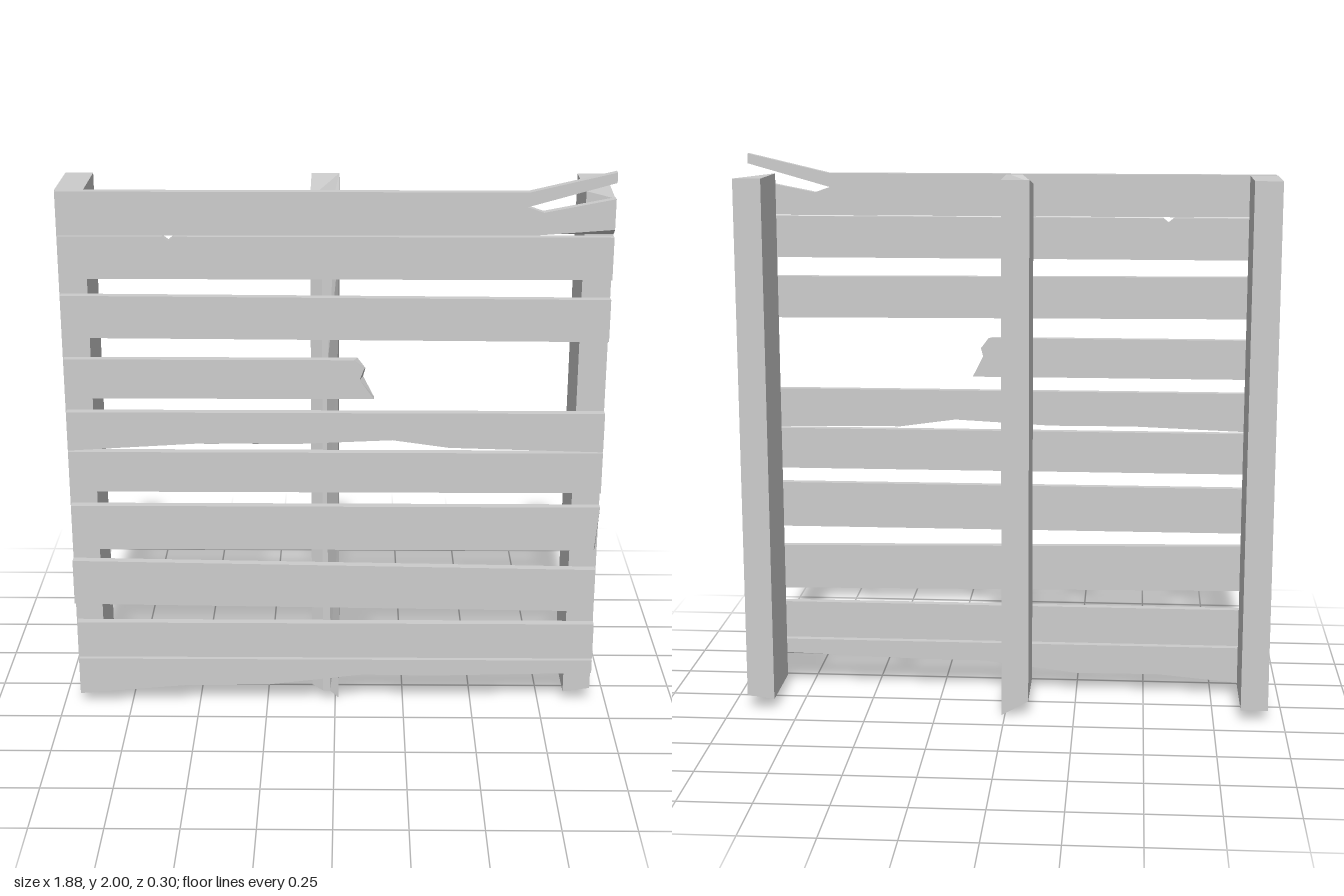
import * as THREE from 'three';

const wood = new THREE.MeshStandardMaterial({ color: 0xcccccc });
wood.name = 'grey wood';
const FRONT = 0.15, BACK = 0.12, REAR = -0.15;

// Closed solid through rings of [u, v, w] points, counter-clockwise seen from +w.
function loft(rings) {
  const n = rings[0].length, pos = [];
  const tri = (...pts) => pts.forEach((p) => pos.push(...p));
  for (let r = 0; r + 1 < rings.length; r++) {
    const lo = rings[r], hi = rings[r + 1];
    for (let i = 0; i < n; i++) {
      const j = (i + 1) % n;
      tri(lo[i], lo[j], hi[j]);
      tri(lo[i], hi[j], hi[i]);
    }
  }
  const caps = (ring) => THREE.ShapeUtils.triangulateShape(ring.map((p) => new THREE.Vector2(p[0], p[1])), []);
  const first = rings[0], last = rings[rings.length - 1];
  for (const [a, b, c] of caps(first)) tri(first[c], first[b], first[a]);
  for (const [a, b, c] of caps(last)) tri(last[a], last[b], last[c]);
  const geo = new THREE.BufferGeometry();
  geo.setAttribute('position', new THREE.Float32BufferAttribute(pos, 3));
  geo.computeVertexNormals();
  return geo;
}

function add(group, name, geo) {
  const mesh = new THREE.Mesh(geo, wood);
  mesh.name = name;
  group.add(mesh);
}

// Board from its front outline; the rear outline may be shifted per point: { index: [dx, dy] }.
function board(outline, shift = {}) {
  const rear = outline.map(([x, y], i) => {
    const [dx, dy] = shift[i] || [0, 0];
    return [x + dx, y + dy, BACK];
  });
  return loft([rear, outline.map(([x, y]) => [x, y, FRONT])]);
}

// Upright from horizontal rings of [x, z, y].
function upright(rings) {
  return loft(rings.map((ring) => ring.map(([x, z, y]) => [x, -z, y]))).rotateX(-Math.PI / 2);
}

export function createModel() {
  const group = new THREE.Group();
  group.name = 'brokenPallet';

  // Whole boards: [left x, right x, bottom left, bottom right, top right, top left]
  const whole = [
    [-0.94, 0.94, 1.42, 1.41, 1.56, 1.57],
    [-0.94, 0.94, 0.85, 0.85, 1.0, 1.0],
    [-0.945, 0.935, 0.41, 0.388, 0.552, 0.58],
    [-0.94, 0.94, 0.197, 0.197, 0.335, 0.335],
  ];
  whole.forEach(([x0, x1, a, b, c, d], i) =>
    add(group, `board${i + 1}`, board([[x0, a], [x1, b], [x1, c], [x0, d]])));
  add(group, 'skewedBoard', board([[-0.94, 0.628], [0.925, 0.628], [0.94, 0.795], [-0.94, 0.795]], { 1: [0.008, 0] }));

  // Top board with a split, lifted splinter
  add(group, 'splinteredTopBoard', board([
    [-0.94, 1.782], [0.69, 1.786], [0.94, 1.805], [0.94, 1.91], [0.7, 1.863], [0.645, 1.882],
    [0.94, 1.965], [0.94, 2.0], [0.65, 1.932], [-0.94, 1.932],
  ], { 1: [0, -0.004], 2: [0, -0.022] }));

  // Second board with a small nick
  add(group, 'nickedBoard', board([
    [-0.94, 1.63], [0.94, 1.63], [0.94, 1.778], [-0.545, 1.778], [-0.565, 1.762], [-0.585, 1.778], [-0.94, 1.778],
  ]));

  // Board snapped off near the middle
  add(group, 'snappedBoard', board([
    [-0.94, 1.2], [0.135, 1.2], [0.085, 1.27], [0.1, 1.31], [0.065, 1.342], [-0.94, 1.342],
  ], { 2: [0.012, 0.005], 3: [0.005, -0.005], 4: [0.012, 0] }));

  // Boards with a ragged lower edge
  add(group, 'raggedMiddleBoard', board([
    [-0.94, 1.005], [-0.45, 1.035], [-0.15, 1.032], [0.2, 1.048], [0.4, 1.02], [0.94, 1.005], [0.94, 1.148], [-0.94, 1.148],
  ], { 1: [0, -0.012], 2: [0, -0.01], 3: [0, -0.008], 4: [0, -0.008] }));
  add(group, 'raggedBottomBoard', board([
    [-0.94, 0.045], [-0.55, 0.08], [-0.25, 0.084], [0.1, 0.127], [0.35, 0.124], [0.94, 0.138], [0.94, 0.188], [-0.94, 0.188],
  ], { 2: [0, -0.006], 3: [0, -0.008], 4: [0, -0.004] }));

  // Outer uprights: counter-clockwise from above, starting front left
  const outer = (x0, x1, b0, b1, topFront) => upright([
    [[x0, BACK, b0], [x1, BACK, b1], [x1, REAR, b1], [x0, REAR, b0]],
    [[x0, BACK, 1.93], [x1, BACK, topFront], [x1, REAR, 1.93], [x0, REAR, 1.93]],
  ]);
  add(group, 'rightUpright', outer(-0.945, -0.848, 0.045, 0.045, 1.93));
  add(group, 'leftUpright', outer(0.842, 0.94, 0.045, 0.06, 1.905));

  // Middle upright: front right edge worn away; [y, worn x, worn z, side bulge x]
  const wear = [[1.72, -0.005, 0.11, 0.012], [1.3, -0.028, 0.05, 0.008], [0.7, -0.03, 0.04, 0.012], [0.25, -0.015, 0.07, 0.015]];
  const ring = (front, side, z, x, yl, ym, yr, yfl = yl) => [
    [-0.085, 0.1, yfl], [-0.045, BACK, ym], [front, BACK, ym], [side, z, yr], [0.012, REAR, yr], [-0.085, REAR, yl],
  ];
  add(group, 'middleUpright', upright([
    ring(-0.02, 0.012, 0.1, 0, 0.06, 0.045, 0.005),
    ...wear.reverse().map(([y, front, z, side]) => ring(front, side, z, 0, y, y, y)),
    ring(0.0, 0.012, 0.115, 0, 1.93, 1.93, 1.93, 1.9),
  ]));
  return group;
}
